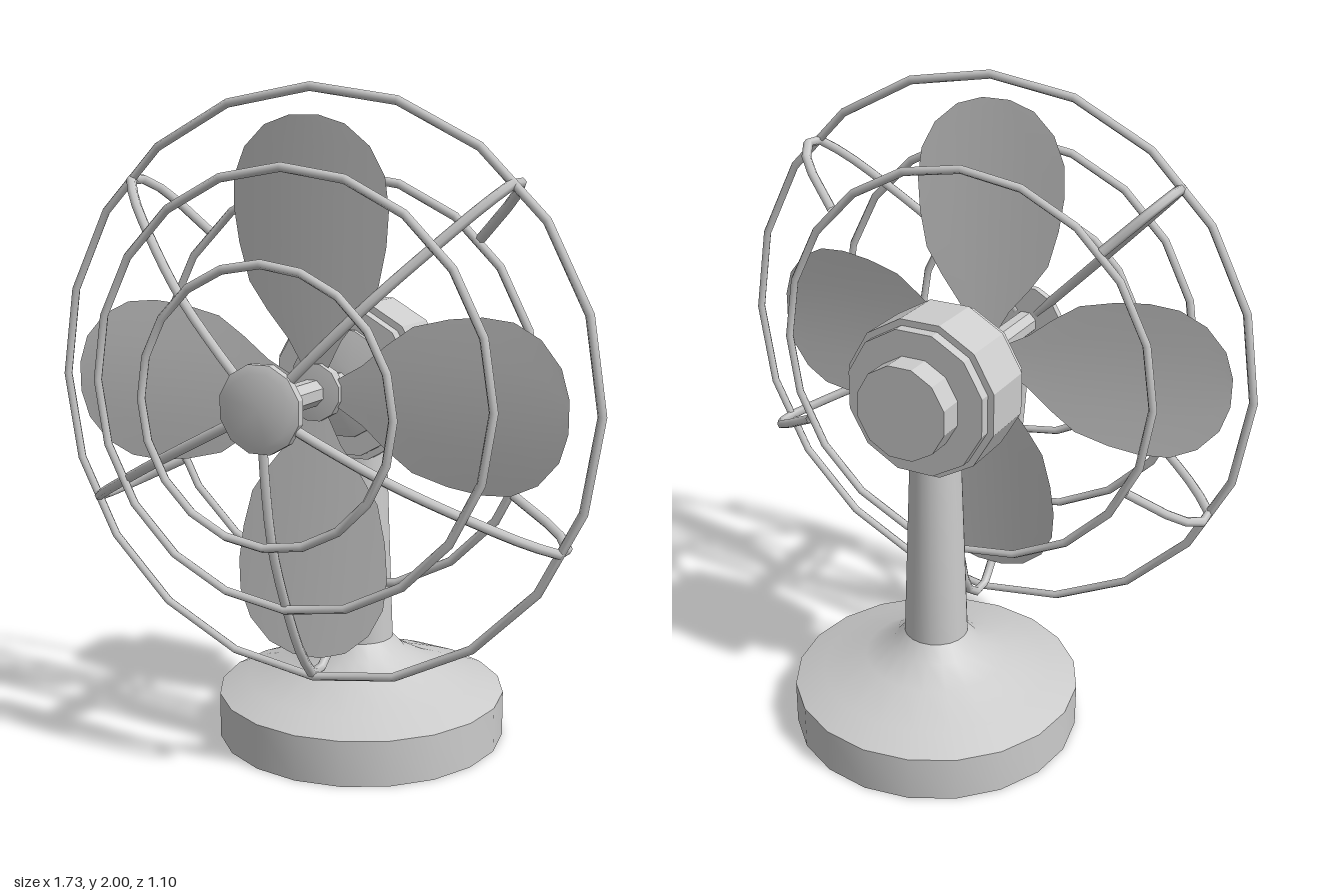
import * as THREE from 'three';
import { toCreasedNormals } from 'three/addons/utils/BufferGeometryUtils.js';

const CY = 1.135; // height of the fan axis
const material = new THREE.MeshStandardMaterial({ color: 0xcccccc });
const thin = new THREE.MeshStandardMaterial({ color: 0xcccccc, side: THREE.DoubleSide });

function add(parent, name, geometry, mat = material) {
  const mesh = new THREE.Mesh(geometry, mat);
  mesh.name = name;
  parent.add(mesh);
  return mesh;
}

// Turned part from [radius, height] pairs
function turned(points, sides, crease = 0.6) {
  const profile = points.map(([r, h]) => new THREE.Vector2(r, h));
  return toCreasedNormals(new THREE.LatheGeometry(profile, sides), crease);
}

// Turned part lying along z, with a flat facing up
function turnedZ(points, sides) {
  return turned(points, sides, 0.4).rotateY(Math.PI / sides).rotateX(Math.PI / 2);
}

// One blade pointing up: rows of [radius, half width], slightly raked and dished
function bladeGeometry() {
  const rows = [[0.06, 0.035], [0.15, 0.085], [0.23, 0.15], [0.31, 0.205], [0.42, 0.232],
    [0.52, 0.243], [0.61, 0.235], [0.69, 0.195], [0.75, 0.125], [0.775, 0.045]];
  const cols = [-1, -0.5, 0, 0.5, 1];
  const positions = [], index = [];
  rows.forEach(([r, w], i) => cols.forEach((u, j) => {
    positions.push(u * w, r, 0.2 + 0.097 * r - 0.2 * (u * w) ** 2);
    if (i && j) {
      const d = i * cols.length + j, c = d - 1, b = d - cols.length, a = b - 1;
      index.push(a, b, d, a, d, c);
    }
  }));
  const g = new THREE.BufferGeometry();
  g.setAttribute('position', new THREE.Float32BufferAttribute(positions, 3));
  g.setIndex(index);
  g.computeVertexNormals();
  return g;
}

export function createModel() {
  const model = new THREE.Group();
  model.name = 'deskFan';

  // Base and tapering stem
  const stand = add(model, 'baseAndStem', turned([[0, 0], [0.45, 0], [0.45, 0.14], [0.36, 0.175],
    [0.225, 0.222], [0.14, 0.265], [0.1, 0.31], [0.077, 0.95]], 20));
  stand.position.z = -0.1;

  const head = new THREE.Group();
  head.name = 'fanHead';
  head.position.y = CY;
  model.add(head);

  // Stepped motor housing
  add(head, 'motorHousing', turnedZ([[0, -0.305], [0.145, -0.305], [0.145, -0.225], [0.225, -0.225],
    [0.225, -0.19], [0.245, -0.19], [0.245, -0.01], [0.225, -0.01], [0.225, 0.03], [0.165, 0.03],
    [0.165, 0.045], [0.06, 0.07], [0, 0.07]], 12));

  // Shaft, blade hub and front cap
  add(head, 'shaft', turnedZ([[0, 0.05], [0.04, 0.05], [0.04, 0.52], [0, 0.52]], 8));
  add(head, 'bladeHub', turnedZ([[0, 0.19], [0.085, 0.19], [0.085, 0.225], [0, 0.235]], 12));
  add(head, 'frontCap', turnedZ([[0, 0.51], [0.125, 0.51], [0.125, 0.535], [0.1, 0.545], [0, 0.545]], 12));

  // Four blades
  const blade = bladeGeometry();
  for (let i = 0; i < 4; i++) add(head, 'blade', blade, thin).rotation.z = i * Math.PI / 2;

  // Guard rings: [radius, z, lift]
  for (const [r, z, lift] of [[0.386, 0.52, 0], [0.616, 0.405, 0.02], [0.852, 0.235, 0], [0.616, 0.055, 0]]) {
    const ring = add(head, 'guardRing', new THREE.TorusGeometry(r, 0.013, 6, 20));
    ring.position.set(0, lift, z);
  }

  // Guard ribs, curving from the front cap round to the rear ring
  const path = new THREE.CatmullRomCurve3([[0.05, 0.52], [0.22, 0.503], [0.4, 0.468], [0.6, 0.388],
    [0.78, 0.29], [0.85, 0.215], [0.8, 0.12], [0.62, 0.055]].map(([r, z]) => new THREE.Vector3(r, 0, z)));
  const rib = new THREE.TubeGeometry(path, 18, 0.015, 6);
  for (const angle of [45, 135, 207, 270, 333]) {
    add(head, 'guardRib', rib, thin).rotation.z = THREE.MathUtils.degToRad(angle);
  }

  return model;
}
